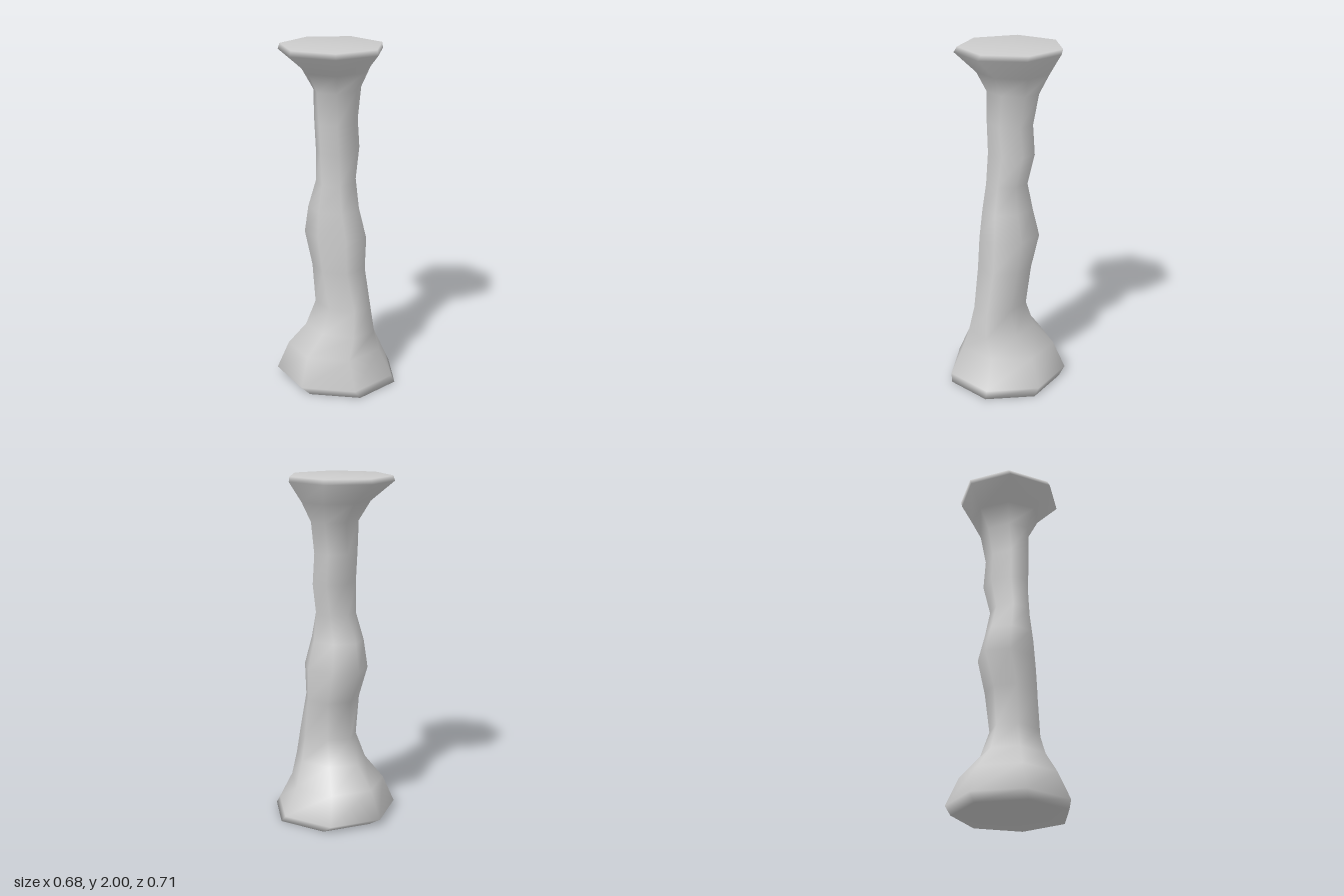
import * as THREE from 'three';

// Seven-sided outlines (x, z) at the foot and the head of the column
const FOOT = [[0.06, -0.36], [0.315, -0.19], [0.34, 0.12], [0.12, 0.335], [-0.18, 0.295], [-0.34, 0.02], [-0.23, -0.27]];
const HEAD = [[0.12, -0.315], [0.30, -0.125], [0.26, 0.135], [0.035, 0.27], [-0.21, 0.175], [-0.29, -0.075], [-0.14, -0.295]];

// Cross-sections: y, min x, max x, min z, max z
const RINGS = [
  [0.00, -0.31, 0.335, -0.29, 0.355],
  [0.04, -0.34, 0.34, -0.355, 0.335],
  [0.20, -0.27, 0.27, -0.285, 0.26],
  [0.33, -0.18, 0.175, -0.18, 0.25],
  [0.48, -0.13, 0.135, -0.125, 0.23],
  [0.71, -0.145, 0.155, -0.135, 0.18],
  [0.90, -0.14, 0.175, -0.205, 0.18],
  [1.06, -0.13, 0.14, -0.17, 0.145],
  [1.22, -0.11, 0.125, -0.115, 0.115],
  [1.40, -0.11, 0.17, -0.12, 0.105],
  [1.57, -0.115, 0.155, -0.125, 0.105],
  [1.75, -0.12, 0.19, -0.135, 0.105],
  [1.86, -0.175, 0.24, -0.20, 0.165],
  [1.97, -0.295, 0.29, -0.315, 0.275],
  [2.00, -0.28, 0.297, -0.313, 0.26],
];

// Blend from the foot to the head outline, then fit it to the ring's extents
function ringPoints([y, x0, x1, z0, z1]) {
  const t = Math.min(1, Math.max(0, (y - 0.04) / 1.93));
  const pts = FOOT.map((p, i) => p.map((v, k) => THREE.MathUtils.lerp(v, HEAD[i][k], t)));
  const fit = (k, lo, hi) => {
    const vals = pts.map((p) => p[k]);
    const a = Math.min(...vals), b = Math.max(...vals);
    return vals.map((v) => THREE.MathUtils.mapLinear(v, a, b, lo, hi));
  };
  const xs = fit(0, x0, x1), zs = fit(1, z0, z1);
  return xs.map((x, i) => [x, y, zs[i]]);
}

// Closed skin over the rings with shared vertices, so the shading is smooth
function loft(rings) {
  const n = rings[0].length, last = (rings.length - 1) * n;
  const pos = rings.flat(2), idx = [];
  for (let r = 0; r < rings.length - 1; r++) {
    for (let j = 0; j < n; j++) {
      const a = r * n + j, b = r * n + (j + 1) % n;
      idx.push(b, a, a + n, b, a + n, b + n);
    }
  }
  // End caps
  const centre = (ring) => [0, 1, 2].map((k) => ring.reduce((s, p) => s + p[k], 0) / n);
  const bottom = pos.length / 3, top = bottom + 1;
  pos.push(...centre(rings[0]), ...centre(rings.at(-1)));
  for (let j = 0; j < n; j++) {
    const k = (j + 1) % n;
    idx.push(bottom, j, k, top, last + k, last + j);
  }
  const geo = new THREE.BufferGeometry();
  geo.setAttribute('position', new THREE.Float32BufferAttribute(pos, 3));
  geo.setIndex(idx);
  geo.computeVertexNormals();
  return geo;
}

export function createModel() {
  const group = new THREE.Group();
  group.name = 'column';
  const body = new THREE.Mesh(
    loft(RINGS.map(ringPoints)),
    new THREE.MeshStandardMaterial({ color: 0xcccccc }),
  );
  body.name = 'columnBody';
  group.add(body);
  return group;
}
